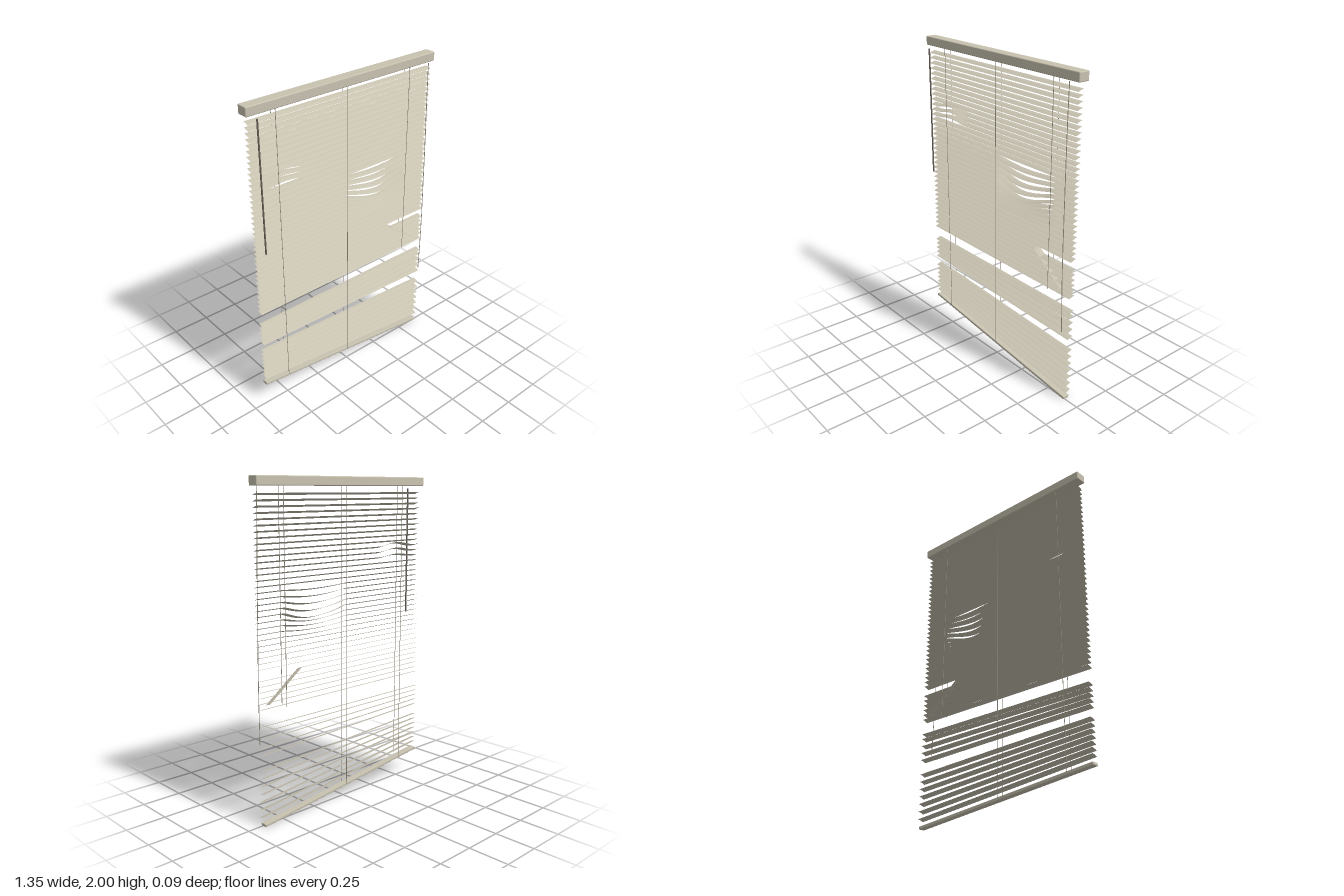
import * as THREE from 'three';
import { RoundedBoxGeometry } from 'three/addons/geometries/RoundedBoxGeometry.js';

const HALF = 0.66, PITCH = 0.0332, TOP = 1.902;
const Z_FRONT = 0.009, Z_BACK = -0.03, TILT = 0.012, CROWN = 0.002;
const RAIL_SLOPE = 0.115, RAIL_Y = 0.086;

const material = (color, side = THREE.FrontSide) => new THREE.MeshStandardMaterial({ color, side });
const slatMat = material(0xc8c2b0, THREE.DoubleSide);
const railMat = material(0xc8c2b0);
const cordMat = material(0x9a9484);
const wandMat = material(0x6b6258);

function add(parent, name, geometry, mat) {
  const mesh = new THREE.Mesh(geometry, mat);
  mesh.name = name;
  parent.add(mesh);
  return mesh;
}

// Half sine wave between a and b, zero outside
const wave = (x, a, b) => (x > a && x < b ? Math.sin(Math.PI * (x - a) / (b - a)) : 0);

// Thin crowned strip; path(x) gives the centre line as [x, y, forward shift]
function slatGeometry(path) {
  const nx = 66, nz = 3, pos = [], index = [];
  for (let i = 0; i <= nx; i++) {
    const [x, y, shift] = path(-HALF + 2 * HALF * i / nx);
    for (let j = 0; j <= nz; j++) {
      const t = j / nz;
      pos.push(x, y + TILT * (0.5 - t) + CROWN * (4 * t * (1 - t) - 0.5),
        Z_BACK + (Z_FRONT - Z_BACK) * t + shift);
      if (i < nx && j < nz) {
        const a = i * (nz + 1) + j, b = a + nz + 1;
        index.push(a, a + 1, b, b, a + 1, b + 1);
      }
    }
  }
  const g = new THREE.BufferGeometry();
  g.setAttribute('position', new THREE.Float32BufferAttribute(pos, 3));
  g.setIndex(index);
  g.computeVertexNormals();
  return g;
}

function cylinderBetween(parent, name, x, z, y0, y1, r, mat, sides = 6) {
  const m = add(parent, name, new THREE.CylinderGeometry(r, r, y1 - y0, sides), mat);
  m.position.set(x, (y0 + y1) / 2, z);
}

export function createModel() {
  const model = new THREE.Group();
  model.name = 'damagedWindowBlind';

  // Head rail
  add(model, 'headRail', new RoundedBoxGeometry(1.35, 0.055, 0.07, 2, 0.006), railMat)
    .position.set(0, 1.9725, -0.015);

  // Upper slats: three lifted at left, nine pushed down and forward, one snapped
  const lift = { 10: 0.021, 11: 0.019, 12: 0.014 };
  const dent = [0.012, 0.021, 0.032, 0.042, 0.05, 0.034, 0.025, 0.017, 0.009];
  const foldX = 0.36, foldAngle = 0.64, foldedSlat = 30;
  const slats = new THREE.Group();
  slats.name = 'slats';
  model.add(slats);
  for (let i = 0; i < 37; i++) {
    const y = TOP - i * PITCH, up = lift[i] || 0, down = dent[i - 16] || 0;
    const path = (x) => {
      if (i === foldedSlat && x > foldX) {
        const d = x - foldX;
        return [foldX + d * Math.cos(foldAngle), y - d * Math.sin(foldAngle), 0];
      }
      const push = wave(x, 0, 0.48);
      return [x, y + up * wave(x, -0.61, -0.29) ** 2 - down * push, 0.66 * down * push * push];
    };
    add(slats, i === foldedSlat ? 'snappedSlat' : 'slat', slatGeometry(path), slatMat);
  }

  // Lower slats that have slipped: [left end height, right end height]
  const slipped = [[0.607, 0.607], [0.575, 0.575], [0.543, 0.528], [0.511, 0.482], [0.478, 0.436]];
  for (let i = 0; i < 7; i++) slipped.push([0.408 - i * PITCH, 0.342 - i * 0.0468]);
  for (const [a, b] of slipped) {
    const path = (x) => [x, a + (b - a) * (x + HALF) / (2 * HALF), 0];
    add(slats, 'slippedSlat', slatGeometry(path), slatMat);
  }

  // Sagging bottom rail
  const rail = add(model, 'bottomRail', new RoundedBoxGeometry(1.32, 0.019, 0.042, 2, 0.004), railMat);
  rail.position.set(-0.006, RAIL_Y, -0.01);
  rail.rotation.z = -RAIL_SLOPE;

  // Ladder cords in front of and behind the slats; the right-hand pair is broken
  for (const x of [-0.49, 0, 0.48]) {
    const bottom = x > 0.4 ? 0.695 : RAIL_Y - x * RAIL_SLOPE;
    for (const z of [0.011, -0.032]) {
      cylinderBetween(model, 'ladderCord', x, z, bottom, 1.95, 0.0017, cordMat);
    }
  }

  // Tilt wand
  cylinderBetween(model, 'tiltWand', -0.62, 0.037, 1.12, 1.93, 0.005, wandMat, 8);

  // Hanging pull cord, slightly wavy
  const cordPoints = [
    [0.615, 1.945, 0.03], [0.615, 1.75, 0.033], [0.619, 1.45, 0.037], [0.622, 1.15, 0.039],
    [0.625, 0.9, 0.04], [0.628, 0.68, 0.037], [0.63, 0.48, 0.032],
  ].map((p) => new THREE.Vector3(...p));
  add(model, 'pullCord',
    new THREE.TubeGeometry(new THREE.CatmullRomCurve3(cordPoints), 24, 0.0022, 6), cordMat);

  return model;
}
